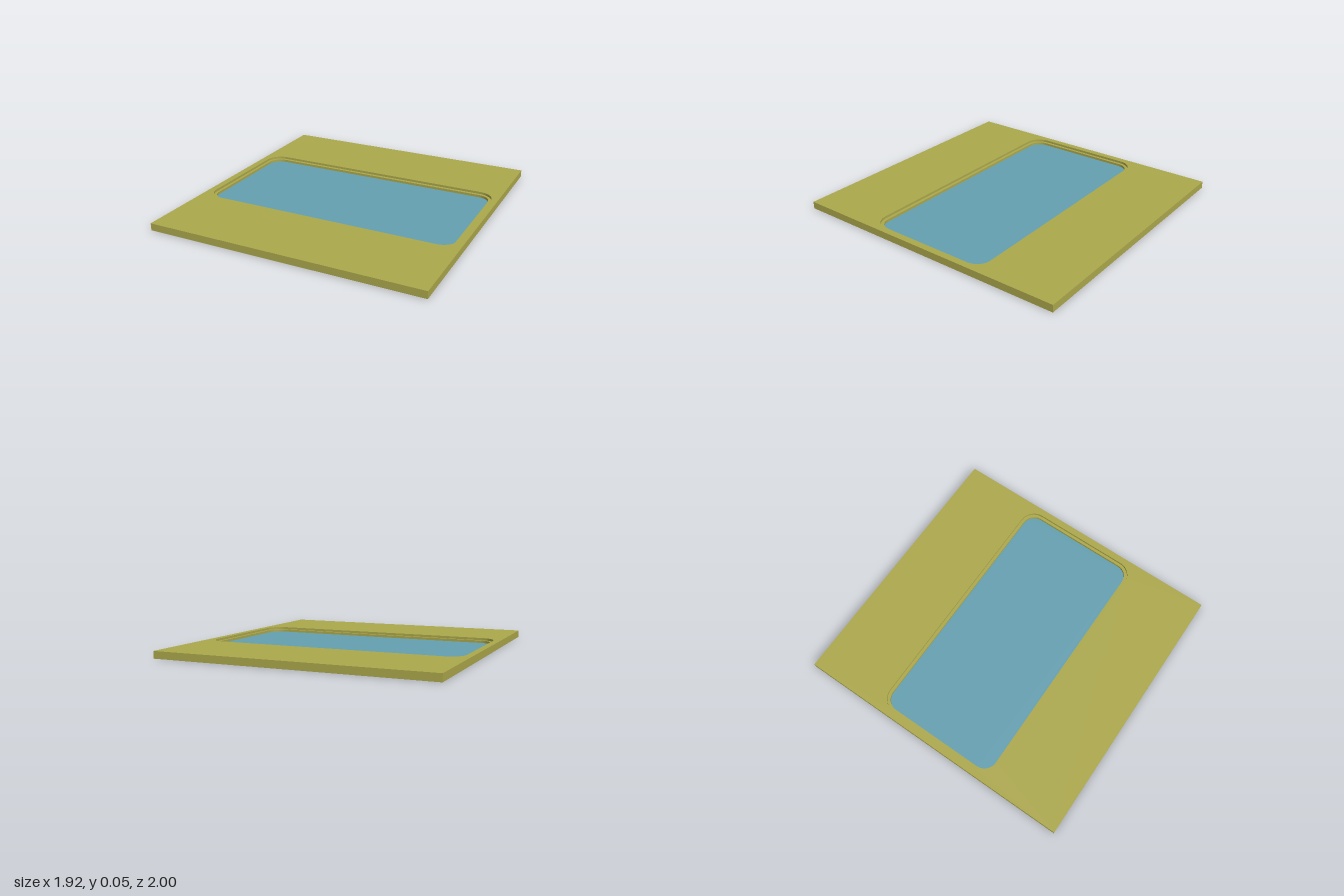
import * as THREE from 'three';
import { toCreasedNormals } from 'three/addons/utils/BufferGeometryUtils.js';

const TOP = 0.05, LEDGE = 0.034, WATER = 0.017;

const stone = new THREE.MeshStandardMaterial({ color: 0xaca84c, side: THREE.DoubleSide });
const water = new THREE.MeshStandardMaterial({ color: 0x65a0b0, side: THREE.DoubleSide });

// Rectangle with half sizes w, d and corner radius r, as a counter-clockwise point list
function outline(w, d, r) {
  if (!r) return [[-w, -d], [w, -d], [w, d], [-w, d]].map(([x, y]) => new THREE.Vector2(x, y));
  const points = [], steps = 10;
  [[1, 1], [-1, 1], [-1, -1], [1, -1]].forEach(([sx, sy], corner) => {
    for (let i = 0; i <= steps; i++) {
      const a = (corner + i / steps) * Math.PI / 2;
      points.push(new THREE.Vector2(sx * (w - r) + r * Math.cos(a), sy * (d - r) + r * Math.sin(a)));
    }
  });
  return points;
}

// Flat horizontal sheet at height y, with an optional opening
function sheet(name, edge, hole, y, material) {
  const shape = new THREE.Shape(edge);
  if (hole) shape.holes.push(new THREE.Path(hole));
  const geometry = new THREE.ShapeGeometry(shape).rotateX(-Math.PI / 2).translate(0, y, 0);
  const mesh = new THREE.Mesh(geometry, material);
  mesh.name = name;
  return mesh;
}

// Thin vertical wall along an outline; inward turns its face to the centre
function wall(name, edge, y0, y1, inward) {
  const positions = [], index = [], n = edge.length;
  edge.forEach((p, i) => {
    positions.push(p.x, y0, -p.y, p.x, y1, -p.y);
    const a = 2 * i, b = 2 * ((i + 1) % n);
    if (inward) index.push(a, a + 1, b, b, a + 1, b + 1);
    else index.push(a, b, a + 1, b, b + 1, a + 1);
  });
  const geometry = new THREE.BufferGeometry();
  geometry.setAttribute('position', new THREE.Float32BufferAttribute(positions, 3));
  geometry.setIndex(index);
  const mesh = new THREE.Mesh(toCreasedNormals(geometry, Math.PI / 5), stone);
  mesh.name = name;
  return mesh;
}

export function createModel() {
  const slab = outline(0.96, 1, 0);
  const rim = outline(0.913, 0.453, 0.11);
  const basin = outline(0.893, 0.431, 0.092);

  const group = new THREE.Group();
  group.name = 'poolTile';
  group.add(
    // Deck, open underneath
    sheet('deck', slab, rim, TOP, stone),
    wall('deckSkirt', slab, 0, TOP, false),
    // Stepped pool edge
    wall('upperPoolWall', rim, LEDGE, TOP, true),
    sheet('poolLedge', rim, basin, LEDGE, stone),
    wall('lowerPoolWall', basin, WATER, LEDGE, true),
    // Water surface
    sheet('water', basin, null, WATER, water),
  );
  return group;
}
